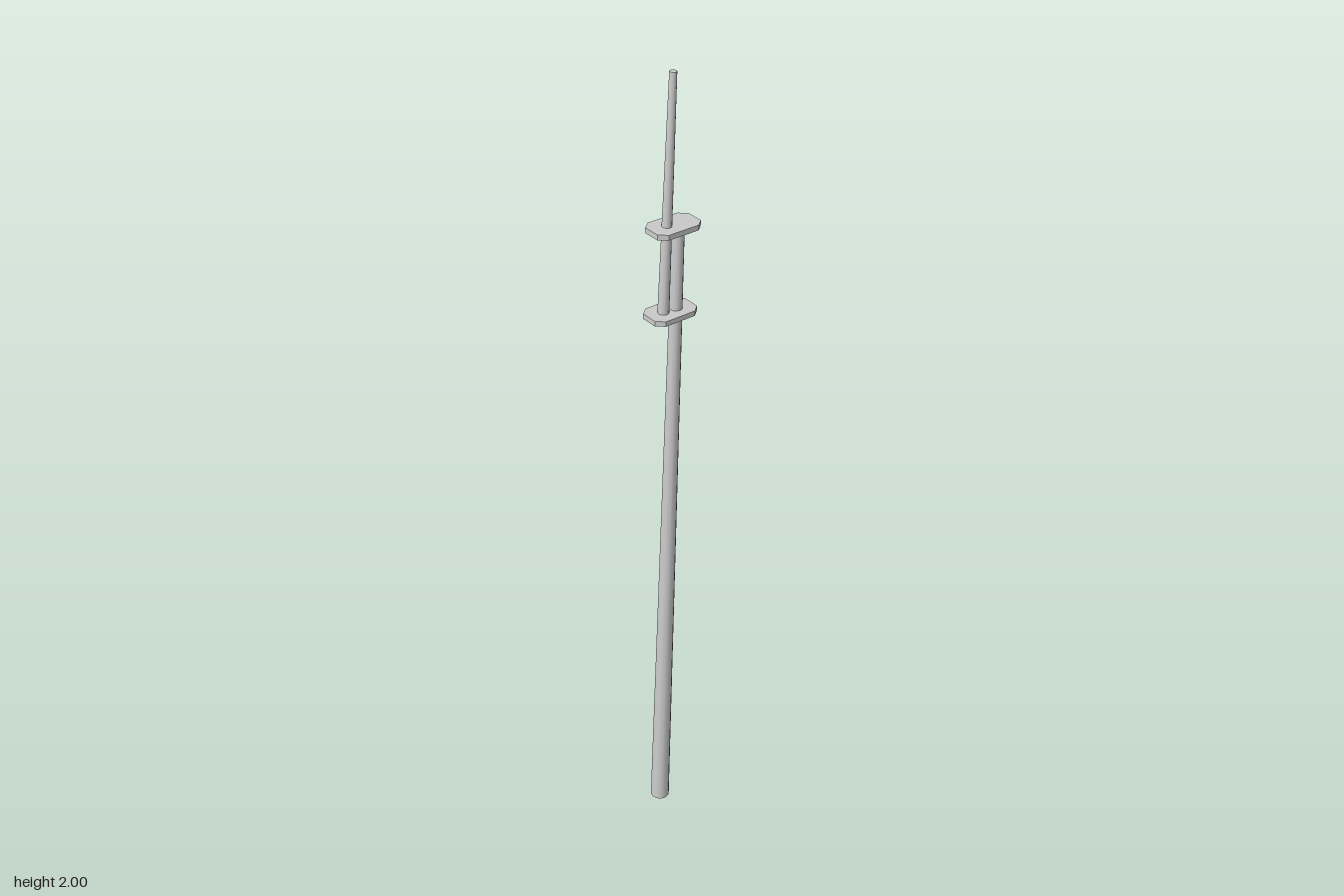
import * as THREE from 'three';

export function createModel() {
  const model = new THREE.Group();
  const material = new THREE.MeshStandardMaterial({ color: 0xcccccc });
  const up = new THREE.Vector3(0, 1, 0);

  // Tapered spar between two points [y, z] on the centre plane
  function addSpar(name, [y0, z0], [y1, z1], r0, r1) {
    const from = new THREE.Vector3(0, y0, z0);
    const to = new THREE.Vector3(0, y1, z1);
    const dir = to.clone().sub(from);
    const spar = new THREE.Mesh(new THREE.CylinderGeometry(r1, r0, dir.length(), 12), material);
    spar.name = name;
    spar.position.copy(from).add(to).multiplyScalar(0.5);
    spar.quaternion.setFromUnitVectors(up, dir.normalize());
    model.add(spar);
  }

  // Plate with cut corners, tilted square to the mast
  const w = 0.035, l = 0.0575, cx = 0.015, cz = 0.018, thick = 0.012;
  const outline = new THREE.Shape([
    [w, l - cz], [w - cx, l], [cx - w, l], [-w, l - cz],
    [-w, cz - l], [cx - w, -l], [w - cx, -l], [w, cz - l],
  ].map(([x, y]) => new THREE.Vector2(x, y)));
  const plateGeometry = new THREE.ExtrudeGeometry(outline, { depth: thick, bevelEnabled: false });
  plateGeometry.translate(0, 0, -thick / 2).rotateX(-Math.PI / 2);

  function addPlate(name, y, z) {
    const plate = new THREE.Mesh(plateGeometry, material);
    plate.name = name;
    plate.position.set(0, y, z);
    plate.rotation.x = -0.036;
    model.add(plate);
  }

  addSpar('lowerMast', [0.001, 0.037], [1.662, -0.021], 0.024, 0.0135);
  addSpar('topMast', [1.462, 0.02], [2, -0.007], 0.013, 0.008);
  addPlate('lowerPlate', 1.463, 0.001);
  addPlate('mastCap', 1.664, -0.007);
  return model;
}
